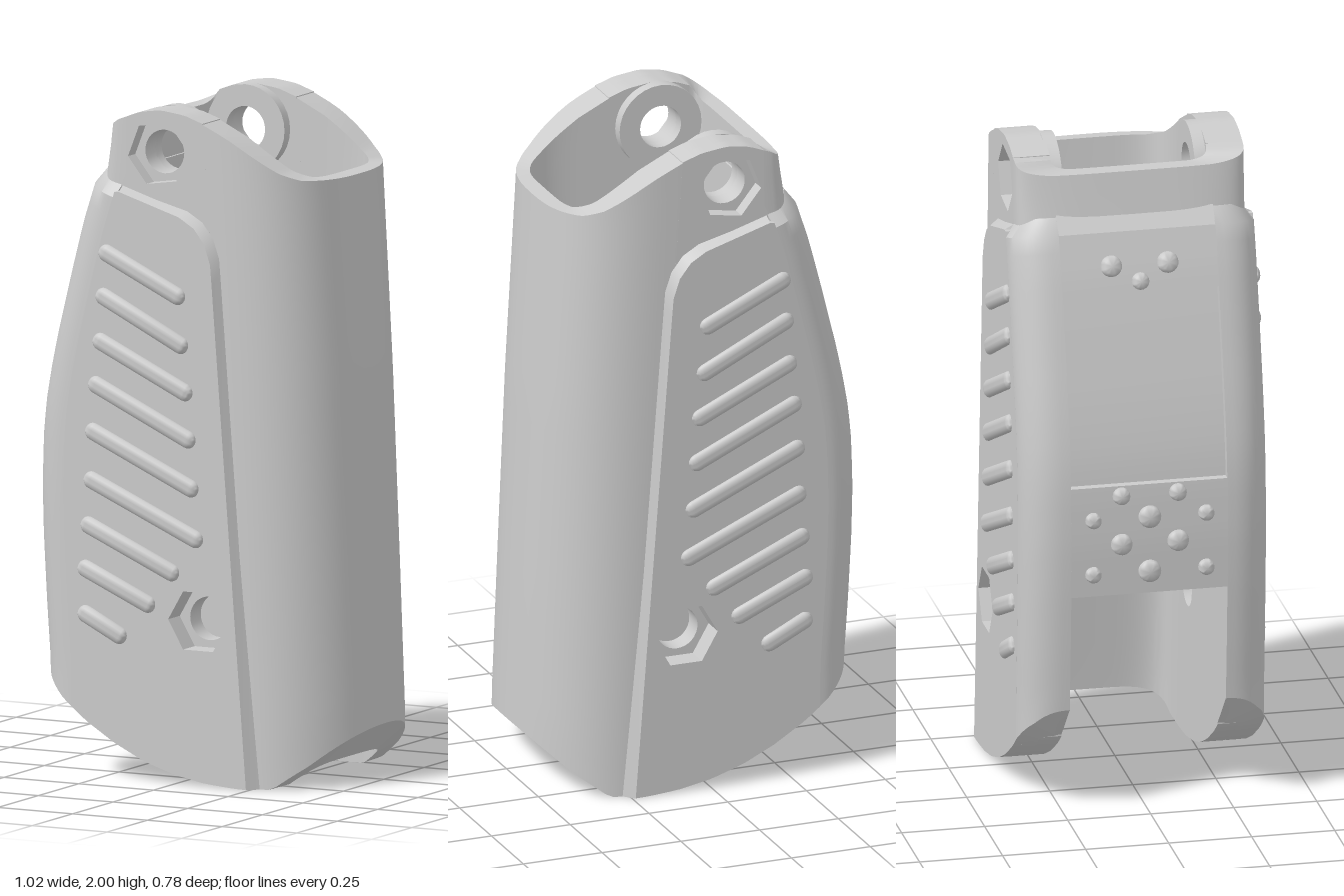
import * as THREE from 'three';
import { toCreasedNormals } from 'three/addons/utils/BufferGeometryUtils.js';

const material = new THREE.MeshStandardMaterial({ color: 0xcccccc, side: THREE.DoubleSide });
const lerp = THREE.MathUtils.lerp;

// piecewise-linear curve through [input, output] pairs
const curve = (pts) => (v) => {
  if (v <= pts[0][0]) return pts[0][1];
  for (let i = 1; i < pts.length; i++) {
    const [a, b] = [pts[i - 1], pts[i]];
    if (v <= b[0]) return lerp(a[1], b[1], (v - a[0]) / (b[0] - a[0]));
  }
  return pts[pts.length - 1][1];
};

// silhouette: top and bottom cut over x, face line over y
const yTop = curve([[-0.25, 1.932], [-0.2, 1.963], [-0.13, 1.99], [-0.06, 2], [0.02, 1.99], [0.1, 1.963],
  [0.18, 1.92], [0.25, 1.872], [0.31, 1.83], [0.36, 1.807], [0.42, 1.8]]);
const yBot = curve([[-0.46, 0.33], [-0.43, 0.285], [-0.38, 0.235], [-0.3, 0.17], [-0.2, 0.108], [-0.1, 0.06],
  [0, 0.028], [0.1, 0.009], [0.2, 0.001], [0.3, 0], [0.4, 0.07], [0.51, 0.17]]);
const xFace = curve([[0.33, -0.46], [0.5, -0.472], [0.7, -0.483], [0.85, -0.487], [1, -0.483], [1.1, -0.474],
  [1.2, -0.457], [1.3, -0.436], [1.5, -0.387], [1.65, -0.348], [1.82, -0.292]]);
const xSide = (y) => lerp(0.22, 0.08, y / 1.97); // where flat side meets round nose

const range = (a, b, n) => Array.from({ length: n + 1 }, (_, i) => lerp(a, b, i / n));
const spow = (v, p) => Math.sign(v) * Math.abs(v) ** p;

function add(parent, name, geometry, crease = 0.6) {
  const mesh = new THREE.Mesh(toCreasedNormals(geometry, crease), material);
  mesh.name = name;
  parent.add(mesh);
  return mesh;
}

// thick curved wall between an outer and an inner surface, each f(u, t) -> [x, y, z]
function wall(outer, inner, nu, nt) {
  const pos = [];
  const quad = (a, b, c, d) => pos.push(...a, ...b, ...c, ...a, ...c, ...d);
  for (let i = 0; i < nu; i++) {
    const [u, v] = [i / nu, (i + 1) / nu];
    for (let j = 0; j < nt; j++) {
      const [s, t] = [j / nt, (j + 1) / nt];
      quad(outer(u, s), outer(u, t), outer(v, t), outer(v, s));
      quad(inner(u, s), inner(v, s), inner(v, t), inner(u, t));
      if (i === 0) quad(outer(0, s), inner(0, s), inner(0, t), outer(0, t));
      if (i === nu - 1) quad(outer(1, s), outer(1, t), inner(1, t), inner(1, s));
    }
    quad(outer(u, 1), inner(u, 1), inner(v, 1), outer(v, 1));
    quad(outer(u, 0), outer(v, 0), inner(v, 0), inner(u, 0));
  }
  const g = new THREE.BufferGeometry();
  g.setAttribute('position', new THREE.Float32BufferAttribute(pos, 3));
  g.computeVertexNormals();
  return g;
}

const circle = (x, y, r) => new THREE.Path().absarc(x, y, r, 0, Math.PI * 2, true);
const hexagon = (x, y, r, turn) => new THREE.Path(range(0, 6, 6).map((k) => {
  const a = turn - k * Math.PI / 3;
  return new THREE.Vector2(x + r * Math.cos(a), y + r * Math.sin(a));
}));
function plate(pts, holes, z0, z1) {
  const shape = new THREE.Shape(pts.map((p) => new THREE.Vector2(...p)));
  shape.holes = holes;
  return new THREE.ExtrudeGeometry(shape, { depth: z1 - z0, bevelEnabled: false, curveSegments: 16 }).translate(0, 0, z0);
}

const upper = [-0.07, 1.87], lower = [0.08, 0.49];

function createSide() {
  const side = new THREE.Group();
  const round = () => [circle(...upper, 0.065), circle(...lower, 0.065)];
  const nutPocket = () => hexagon(...lower, 0.1, 0);
  const edgeDown = range(1.75, 0.3, 24).map((y) => [xFace(y) + 0.115, y]);

  // flat side wall in two layers, round bolt holes inside and nut pockets outside
  const outline = [
    ...range(-0.345, 0.22, 20).map((x) => [x, yBot(x)]),
    ...range(0.08, -0.178, 14).map((x) => [x, yTop(x)]),
    [-0.178, 1.8], ...edgeDown,
  ];
  add(side, 'sideWallInner', plate(outline, round(), 0.235, 0.3));
  add(side, 'sideWallOuter', plate(outline, [hexagon(...upper, 0.1, 0.15), nutPocket()], 0.3, 0.345));

  // raised grip panel, its front rim drawn in at the top and nose edge for a chamfer
  const panelOutline = [
    ...range(-0.345, 0.3, 22).map((x) => [x, yBot(x)]),
    [0.16, 1.53], [0.155, 1.59], [0.135, 1.65], [0.1, 1.695], [0.05, 1.725], [-0.186, 1.785], ...edgeDown,
  ];
  const panel = plate(panelOutline, [nutPocket()], 0.31, 0.372);
  const p = panel.attributes.position;
  for (let i = 0; i < p.count; i++) {
    if (p.getZ(i) < 0.36) continue;
    if (p.getY(i) > 1.76) p.setY(i, 1.751);
    else if (p.getY(i) > 1.5 && p.getX(i) > 0) p.setXY(i, p.getX(i) - 0.035, p.getY(i) - 0.035);
    else p.setX(i, Math.min(p.getX(i), 0.24));
  }
  panel.computeVertexNormals();
  add(side, 'gripPanel', panel, 0.3);

  // rounded corner between grip panel and control face, top edge drawn in for the same chamfer
  const corner = (d, z, t) => {
    const y = lerp(yBot(-0.46 + d), 1.815 - d * 0.25, t);
    return [xFace(y) + d, y, z];
  };
  add(side, 'faceCorner', wall(
    (u, t) => {
      const a = u * Math.PI / 2;
      const pull = t === 1 ? 1 : 0;
      return corner(0.12 * (1 - Math.sin(a) ** 0.9) + pull * 0.02 * Math.sin(a),
        0.235 + (0.137 - pull * 0.04) * Math.max(0, Math.cos(a)) ** 0.85, t);
    },
    (u, t) => corner(0.14, 0.235, t), 12, 30));

  // boss around the upper bolt hole
  const ring = range(0, 31, 31).map((k) => {
    const a = k * Math.PI / 16;
    return [upper[0] + 0.13 * Math.cos(a), upper[1] + 0.13 * Math.sin(a)];
  });
  add(side, 'boltBoss', plate(ring, [circle(...upper, 0.065)], 0.2, 0.24));

  // slanted grip ribs
  const ribs = [
    [-0.225, 1.565, 0.01, 1.455], [-0.235, 1.435, 0.02, 1.31], [-0.245, 1.3, 0.035, 1.17],
    [-0.26, 1.17, 0.045, 1.03], [-0.27, 1.03, 0.055, 0.885], [-0.275, 0.885, 0.07, 0.735],
    [-0.285, 0.75, -0.01, 0.63], [-0.295, 0.62, -0.09, 0.53], [-0.295, 0.485, -0.185, 0.43],
  ];
  for (const [x0, y0, x1, y1] of ribs) {
    const g = new THREE.CapsuleGeometry(0.027, Math.hypot(x1 - x0, y1 - y0), 6, 14);
    const rib = add(side, 'gripRib', g, 0.9);
    rib.scale.z = 0.65;
    rib.rotation.z = Math.atan2(y1 - y0, x1 - x0) - Math.PI / 2;
    rib.position.set((x0 + x1) / 2, (y0 + y1) / 2, 0.371);
  }
  return side;
}

export function createModel() {
  const model = new THREE.Group();

  for (const s of [1, -1]) {
    const side = createSide();
    side.name = s > 0 ? 'frontSide' : 'backSide';
    side.scale.z = s;
    model.add(side);
  }

  // rounded nose closing the sleeve at +x, fuller towards the top
  const nose = (halfWidth, powerBottom, powerTop, xEnd) => (u, t) => {
    const a = (u - 0.5) * Math.PI;
    const power = lerp(powerBottom, powerTop, t);
    const c = Math.max(0, Math.cos(a)) ** power;
    const xAt = (y) => lerp(xSide(y), xEnd(y), c);
    const y = lerp(yBot(xAt(0.1)), yTop(xAt(1.85)), t);
    return [xAt(y), y, halfWidth * spow(Math.sin(a), power)];
  };
  const outerEnd = curve([[0.17, 0.51], [0.6, 0.49], [1.2, 0.46], [1.8, 0.42]]);
  const innerEnd = curve([[0.07, 0.395], [0.5, 0.35], [1.3, 0.325], [1.82, 0.375]]);
  add(model, 'sleeveNose', wall(nose(0.345, 0.92, 0.75, outerEnd), nose(0.235, 0.45, 0.45, innerEnd), 40, 24));

  // collar rising above the control face
  const collar = (halfWidth, power, xEnd) => (u, t) => {
    const a = (u - 0.5) * Math.PI;
    const c = Math.max(0, Math.cos(a)) ** power;
    const y = lerp(1.7, yTop(lerp(-0.175, -0.255, c)), t);
    return [lerp(-0.175, xEnd(y), c), y, halfWidth * spow(Math.sin(a), power)];
  };
  add(model, 'collar', wall(collar(0.345, 0.5, curve([[1.7, -0.3], [1.93, -0.255]])),
    collar(0.235, 0.4, () => -0.205), 32, 4));

  // control face with sunken screen; the sleeve is open below it
  const face = (y0, y1, inset, n) => range(y0, y1, n).map((y) => [xFace(y) + inset, y]);
  const faceProfile = [
    [-0.2, 1.805], [-0.272, 1.815], ...face(1.765, 1.59, 0, 4),
    ...face(1.59, 1.03, 0.025, 12), ...face(1.03, 0.69, 0, 8), [-0.2, 0.69],
  ];
  add(model, 'controlFace', plate(faceProfile, [], -0.236, 0.236), 0.3);

  // inner rail and its end posts
  const rail = add(model, 'innerRail', new THREE.BoxGeometry(0.085, 0.9, 0.3));
  rail.position.set(-0.165, 1.15, 0);
  for (const s of [1, -1]) {
    const post = add(model, 'railPost', new THREE.BoxGeometry(0.09, 0.95, 0.06));
    post.position.set(-0.16, 1.17, s * 0.17);
  }

  // buttons: [height, z, radius]
  const buttons = [
    [1.67, -0.085, 0.032], [1.67, 0.085, 0.032], [1.622, 0, 0.026],
    [1, -0.085, 0.026], [1, 0.085, 0.026],
    [0.93, -0.17, 0.024], [0.93, 0, 0.034], [0.93, 0.17, 0.024],
    [0.85, -0.085, 0.032], [0.85, 0.085, 0.032],
    [0.76, -0.17, 0.024], [0.76, 0, 0.034], [0.76, 0.17, 0.024],
  ];
  for (const [y, z, r] of buttons) {
    const profile = [[0, 0.024], [r * 0.7, 0.022], [r * 0.93, 0.015], [r, 0.005], [r, -0.02]];
    const g = new THREE.LatheGeometry(profile.map((q) => new THREE.Vector2(...q)), 20);
    const button = add(model, 'button', g, 0.9);
    const slope = Math.atan2(xFace(y + 0.03) - xFace(y - 0.03), 0.06);
    button.rotation.z = Math.PI / 2 - slope;
    button.position.set(xFace(y), y, z);
  }
  return model;
}
